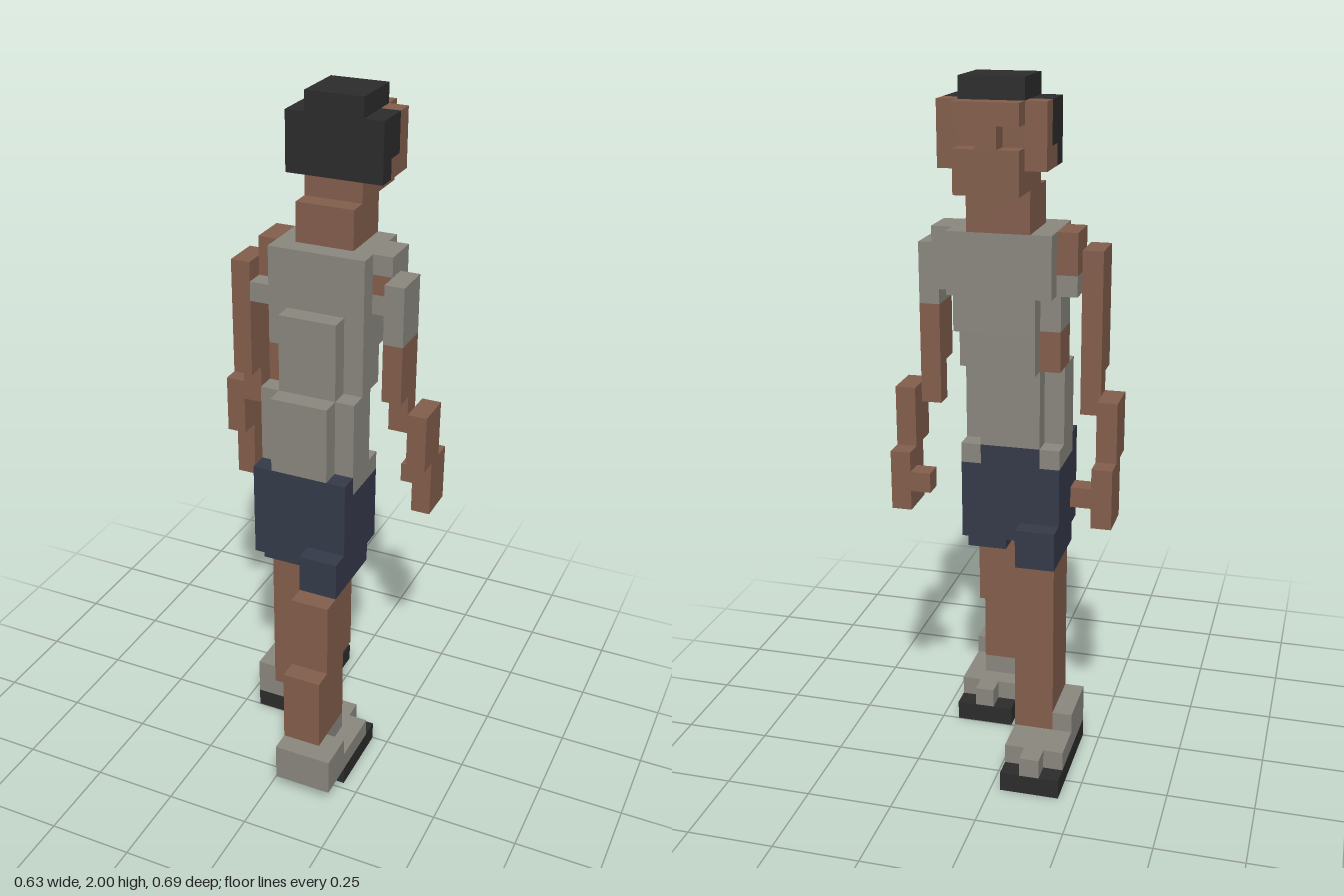
import * as THREE from 'three';

const U = 2 / 35; // one block
const mat = (name, color) => {
  const m = new THREE.MeshStandardMaterial({ color });
  m.name = name;
  return m;
};

export function createModel() {
  const skin = mat('skin', 0x835e4c);
  const shirt = mat('warm grey', 0x8a877e);
  const shorts = mat('navy', 0x353a4a);
  const dark = mat('black', 0x2c2c2c);

  const model = new THREE.Group();
  model.name = 'walkingFigure';

  const part = (name) => {
    const g = new THREE.Group();
    g.name = name;
    model.add(g);
    return g;
  };
  // Box between block boundaries: x 0..11, y 0..35, z 0..12
  const box = (group, name, material, x0, x1, y0, y1, z0, z1) => {
    const mesh = new THREE.Mesh(
      new THREE.BoxGeometry((x1 - x0) * U, (y1 - y0) * U, (z1 - z0) * U), material);
    mesh.position.set(((x0 + x1) / 2 - 5.5) * U, ((y0 + y1) / 2) * U, ((z0 + z1) / 2 - 6) * U);
    mesh.name = name;
    group.add(mesh);
  };
  // Mirrored column range: side -1 keeps it, side 1 flips it
  const flip = (side, a, b) => (side < 0 ? [a, b] : [11 - b, 11 - a]);

  // Head, looking toward -z
  const head = part('head');
  box(head, 'neck', skin, 4, 7, 28, 30, 2, 5);
  box(head, 'skull', skin, 4, 7, 30, 34, 1, 3);
  box(head, 'nape', skin, 4, 7, 30, 31, 3, 4);
  box(head, 'brow', skin, 4, 7, 33, 34, 0, 1);
  box(head, 'nose', skin, 5, 6, 32, 33, 0, 1);
  box(head, 'jaw', skin, 4, 7, 30, 32, 0, 1);
  box(head, 'hairTop', dark, 4, 7, 34, 35, 1, 4);
  box(head, 'hairBack', dark, 4, 7, 31, 34, 3, 4);
  for (const side of [-1, 1]) {
    const c = flip(side, 3, 4);
    box(head, 'hairSide', dark, ...c, 32, 34, 2, 4);
    box(head, 'hairSideLow', dark, ...c, 31, 32, 3, 4);
    box(head, 'cheek', skin, ...c, 31, 34, 1, 2);
    box(head, 'earLobe', skin, ...c, 31, 32, 2, 3);
  }

  // Shirt
  const torso = part('torso');
  box(torso, 'chest', shirt, 3, 8, 25, 28, 2, 6);
  box(torso, 'ribs', shirt, 3, 8, 23, 25, 4, 6);
  box(torso, 'ribsFront', shirt, 4, 8, 23, 25, 3, 4);
  box(torso, 'belly', shirt, 4, 8, 21, 23, 4, 6);
  box(torso, 'bellyFront', shirt, 4, 7, 21, 23, 3, 4);
  box(torso, 'bareSide', skin, 3, 4, 21, 23, 4, 6);
  box(torso, 'midBack', shirt, 4, 7, 21, 25, 6, 7);
  box(torso, 'waist', shirt, 3, 8, 17, 21, 5, 7);
  box(torso, 'waistFront', shirt, 4, 7, 17, 21, 4, 5);
  box(torso, 'lowerBack', shirt, 4, 7, 17, 21, 7, 8);
  for (const side of [-1, 1])
    box(torso, 'hem', shirt, ...flip(side, 3, 4), 16, 17, 4, 7);

  // Shoulders
  const shoulders = part('shoulders');
  box(shoulders, 'bareShoulder', skin, 2, 3, 26, 28, 3, 5);
  box(shoulders, 'armholeTrim', shirt, 2, 3, 25, 26, 3, 6);
  box(shoulders, 'sleeveFront', shirt, 8, 9, 25, 28, 3, 4);
  box(shoulders, 'sleeveTop', shirt, 8, 9, 27, 28, 4, 5);
  box(shoulders, 'sleeveGap', skin, 8, 9, 26, 27, 4, 5);
  box(shoulders, 'sleeveBottom', shirt, 8, 9, 25, 26, 4, 5);

  // Arms
  for (const side of [-1, 1]) {
    const arm = part(side < 0 ? 'rightArm' : 'leftArm');
    const inner = flip(side, 1, 2), outer = flip(side, 0, 1);
    box(arm, 'upperArmTop', side < 0 ? skin : shirt, ...inner, 24, 27, 4, 6);
    box(arm, 'upperArm', skin, ...inner, 21, 24, 4, 6);
    box(arm, 'elbow', skin, ...inner, 19, 21, 4, 5);
    box(arm, 'forearm', skin, ...outer, 17, 20, 3, 5);
    box(arm, 'hand', skin, ...outer, 14, 17, 2, 4);
    box(arm, 'thumb', skin, ...inner, 15, 16, 2, 3);
  }

  // Shorts
  const pants = part('shorts');
  box(pants, 'hips', shorts, 3, 8, 12, 16, 4, 8);
  box(pants, 'waistband', shorts, 4, 7, 16, 17, 4, 7);
  box(pants, 'waistbandBack', shorts, 3, 8, 16, 17, 7, 8);
  box(pants, 'frontCuff', shorts, 3, 5, 11, 13, 3, 7);
  box(pants, 'backCuff', shorts, 6, 8, 11, 13, 5, 9);

  // Legs in mid stride
  const legs = part('legs');
  box(legs, 'frontLeg', skin, 3, 5, 2, 11, 3, 6);
  box(legs, 'backThigh', skin, 6, 8, 7, 11, 7, 10);
  box(legs, 'backShin', skin, 6, 8, 3, 7, 8, 11);

  // Front shoe
  const frontShoe = part('frontShoe');
  box(frontShoe, 'sole', dark, 2, 5, 0, 1, 0, 6);
  box(frontShoe, 'upper', shirt, 2, 5, 1, 2, 1, 6);
  box(frontShoe, 'toe', shirt, 3, 4, 1, 2, 0, 1);
  box(frontShoe, 'ankle', shirt, 2, 3, 2, 3, 3, 6);

  // Back shoe, heel raised
  const backShoe = part('backShoe');
  box(backShoe, 'sole', dark, 6, 9, 0, 1, 6, 10);
  box(backShoe, 'upper', shirt, 6, 9, 1, 2, 7, 10);
  box(backShoe, 'toe', shirt, 7, 8, 1, 2, 6, 7);
  box(backShoe, 'heel', shirt, 6, 9, 1, 3, 10, 12);
  box(backShoe, 'ankle', shirt, 6, 8, 2, 3, 8, 10);

  return model;
}
